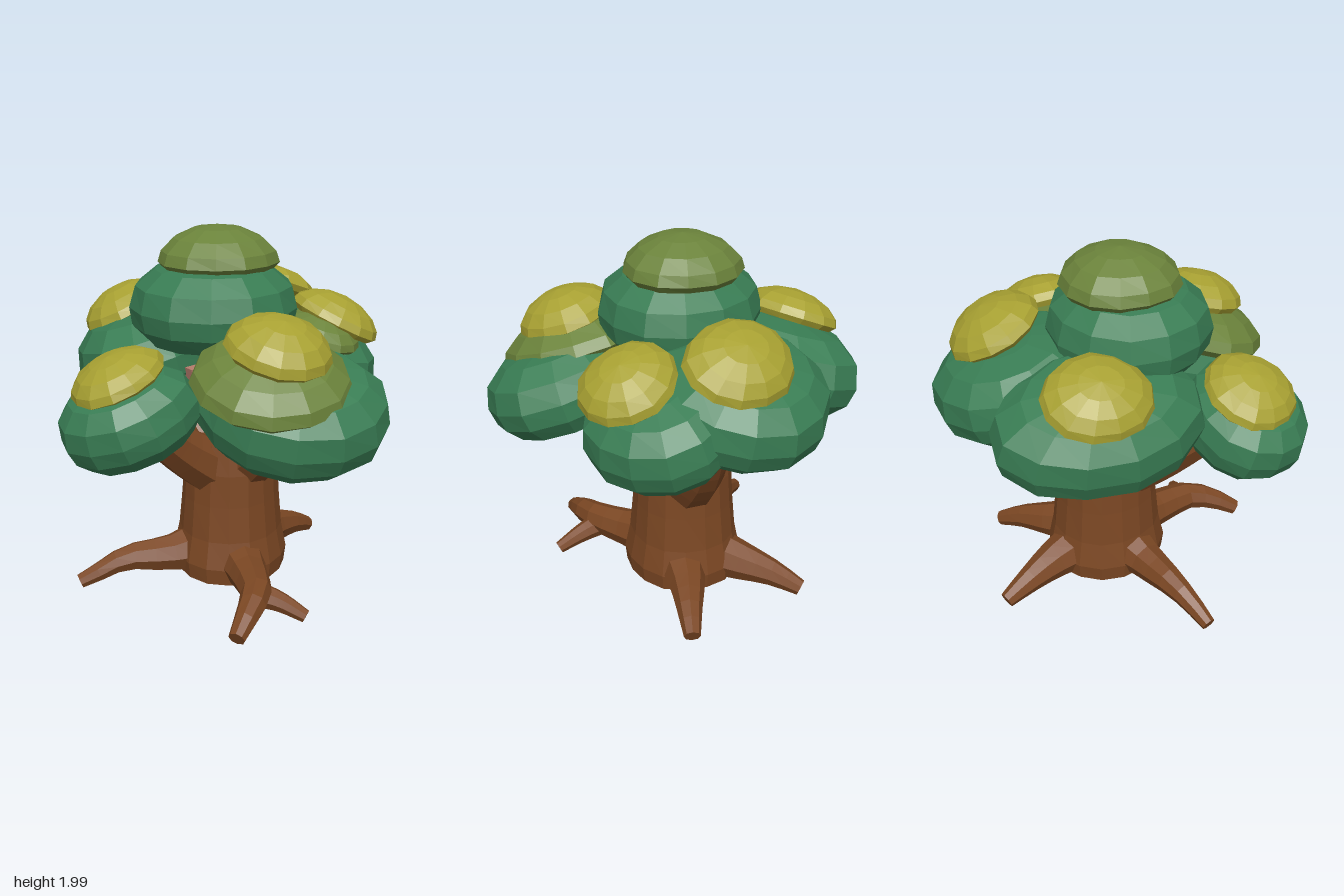
import * as THREE from 'three';

const mat = (name, color) => Object.assign(new THREE.MeshStandardMaterial({ color, flatShading: true }), { name });

export function createModel() {
  const bark = mat('bark', 0x7b4723);
  const green = mat('deep green', 0x397d54);
  const olive = mat('olive green', 0x6b833b);
  const yellow = mat('yellow green', 0xa8a132);
  const under = mat('leaf underside', 0xb57c6c);

  const tree = new THREE.Group();
  tree.name = 'tree';
  const add = (name, geometry, material, parent = tree) => {
    const mesh = new THREE.Mesh(geometry, material);
    mesh.name = name;
    parent.add(mesh);
    return mesh;
  };

  // Uneven outline, so that the round parts look hand cut
  const roughen = (geometry, seed, amount) => {
    const p = geometry.attributes.position;
    for (let i = 0; i < p.count; i++) {
      const a = Math.atan2(p.getX(i), p.getZ(i));
      const k = 1 + amount * Math.sin(3 * a + seed) + amount * 0.7 * Math.sin(5 * a + seed * 2 + p.getY(i) * 3);
      p.setXYZ(i, p.getX(i) * k, p.getY(i), p.getZ(i) * k);
    }
    return geometry;
  };
  const lathe = (points, sides) =>
    new THREE.LatheGeometry(points.map(([r, y]) => new THREE.Vector2(r, y)), sides);

  // Leaf clumps: domes with a slightly hollow base, leaning along a given up direction
  const clumpProfile = [[0.8, 0], [0.96, 0.2], [1, 0.43], [0.93, 0.7], [0.7, 0.9], [0.36, 0.98], [0, 1]];
  const clumpBase = [[0, 0.06], [0.45, 0.05], [0.8, 0]];
  const capProfile = [[0.9, -0.08], [1, 0.1], [0.94, 0.37], [0.73, 0.68], [0.4, 0.91], [0, 1]];
  const capBase = [[0, -0.08], [0.9, -0.08]];
  let seed = 0;
  const dome = (name, profile, floor, top, bottom, base, size, up) => {
    seed += 1.3;
    const group = new THREE.Group();
    group.name = name;
    add(name + 'Top', roughen(lathe(profile, 13), seed, 0.015), top, group);
    add(name + 'Base', roughen(lathe(floor, 13), seed, 0.015), bottom, group);
    group.position.set(...base);
    group.scale.set(...size);
    group.quaternion.setFromUnitVectors(new THREE.Vector3(0, 1, 0), new THREE.Vector3(...up).normalize());
    tree.add(group);
  };

  [
    ['frontLeftClump', [0.32, 0.98, 0.43], [0.49, 0.43, 0.43], [0.1, 1, 0.33]],
    ['frontRightClump', [-0.43, 0.98, 0.51], [0.36, 0.37, 0.33], [-0.33, 1, 0.2]],
    ['backRightClump', [-0.38, 1.08, -0.24], [0.41, 0.45, 0.55], [-0.3, 1, -0.06]],
    ['backClump', [0.07, 1.12, -0.46], [0.47, 0.42, 0.45], [0.05, 1, -0.3]],
    ['backLeftClump', [0.4, 1.03, -0.31], [0.4, 0.41, 0.4], [0.27, 1, 0]],
    ['crownClump', [-0.07, 1.4, 0.05], [0.445, 0.42, 0.43], [0, 1, 0]],
  ].forEach(([name, ...rest]) => dome(name, clumpProfile, clumpBase, green, under, ...rest));

  [
    ['crownCap', olive, [-0.05, 1.79, 0.01], [0.32, 0.21, 0.315], [0, 1, 0]],
    ['frontLeftLayer', olive, [0.22, 1.3, 0.54], [0.4, 0.22, 0.41], [0.05, 1, 0.33]],
    ['backLeftLayer', olive, [0.49, 1.38, -0.09], [0.23, 0.13, 0.23], [0.3, 1, 0.1]],
    ['frontLeftCap', yellow, [0.25, 1.46, 0.57], [0.27, 0.18, 0.27], [0.2, 1, 0.25]],
    ['frontRightCap', yellow, [-0.52, 1.3, 0.53], [0.25, 0.15, 0.25], [-0.4, 1, 0.18]],
    ['backRightCap', yellow, [-0.56, 1.47, -0.3], [0.25, 0.16, 0.28], [-0.47, 1, 0]],
    ['backCap', yellow, [0.2, 1.52, -0.58], [0.3, 0.16, 0.26], [0.15, 1, -0.5]],
    ['backLeftCap', yellow, [0.58, 1.43, -0.22], [0.26, 0.16, 0.25], [0.5, 1, -0.08]],
  ].forEach(([name, color, ...rest]) => dome(name, capProfile, capBase, color, color, ...rest));

  // Core that closes the gap between the clumps, under the crown
  const core = add('canopyCore', new THREE.CylinderGeometry(0.24, 0.2, 0.2, 10), under);
  core.position.set(-0.04, 1.18, 0.04);

  // Trunk, flared at the foot
  const trunk = add('trunk', roughen(lathe([[0, 0.06], [0.31, 0.06], [0.32, 0.15], [0.29, 0.3],
    [0.272, 0.5], [0.262, 0.68], [0.24, 0.84], [0, 0.82]], 16), 2, 0.015), bark);
  trunk.position.set(0.015, 0, -0.05);
  trunk.scale.z = 1.06;

  // Tapered limb with a blunt end; radii are spread evenly along the path
  const limb = (name, path, radii, sides = 8) => {
    const n = 8;
    const curve = new THREE.CatmullRomCurve3(path.map((p) => new THREE.Vector3(...p)));
    const geometry = new THREE.TubeGeometry(curve, n, 1, sides);
    const p = geometry.attributes.position;
    const v = new THREE.Vector3();
    for (let i = 0; i <= n; i++) {
      const u = Math.min(i, n - 1) / (n - 1);
      const f = u * (radii.length - 1);
      const k = Math.min(Math.floor(f), radii.length - 2);
      const r = i === n ? 0 : THREE.MathUtils.lerp(radii[k], radii[k + 1], f - k);
      const from = curve.getPointAt(i / n);
      const to = curve.getPointAt(u);
      for (let j = 0; j <= sides; j++) {
        const q = i * (sides + 1) + j;
        v.fromBufferAttribute(p, q).sub(from).multiplyScalar(r).add(to);
        p.setXYZ(q, v.x, v.y, v.z);
      }
    }
    add(name, geometry, bark);
  };

  // Roots
  limb('rightRoot', [[-0.1, 0.19, 0], [-0.32, 0.16, 0.08], [-0.57, 0.16, 0.15], [-0.69, 0.11, 0.2], [-0.81, 0.06, 0.24]],
    [0.16, 0.11, 0.085, 0.06, 0.04]);
  limb('frontRoot', [[0.06, 0.17, 0.1], [0.12, 0.16, 0.33], [0.16, 0.16, 0.55], [0.12, 0.13, 0.69], [0.06, 0.06, 0.83]],
    [0.15, 0.11, 0.09, 0.07, 0.045]);
  limb('frontRootFork', [[0.13, 0.13, 0.48], [0.28, 0.1, 0.52], [0.42, 0.04, 0.57]], [0.075, 0.055, 0.035]);
  limb('backLeftRoot', [[0.12, 0.18, -0.12], [0.25, 0.15, -0.3], [0.39, 0.11, -0.45], [0.49, 0.05, -0.56]],
    [0.15, 0.11, 0.075, 0.045]);
  limb('backRoot', [[-0.02, 0.18, -0.15], [-0.09, 0.15, -0.38], [-0.17, 0.11, -0.57], [-0.23, 0.05, -0.73]],
    [0.15, 0.12, 0.08, 0.045]);

  // Branches rising into the clumps
  limb('frontRightBranch', [[-0.04, 0.64, 0.02], [-0.24, 0.82, 0.18], [-0.44, 1.06, 0.36]], [0.17, 0.13, 0.1]);
  limb('frontLeftBranch', [[0.08, 0.66, 0.03], [0.2, 0.84, 0.19], [0.33, 1.06, 0.37]], [0.15, 0.12, 0.09]);
  limb('backLeftBranch', [[0.07, 0.6, -0.13], [0.18, 0.84, -0.34], [0.28, 1.2, -0.52]], [0.16, 0.12, 0.09]);
  limb('backRightBranch', [[-0.04, 0.68, -0.1], [-0.2, 0.9, -0.18], [-0.34, 1.14, -0.26]], [0.12, 0.085, 0.06]);

  return tree;
}
